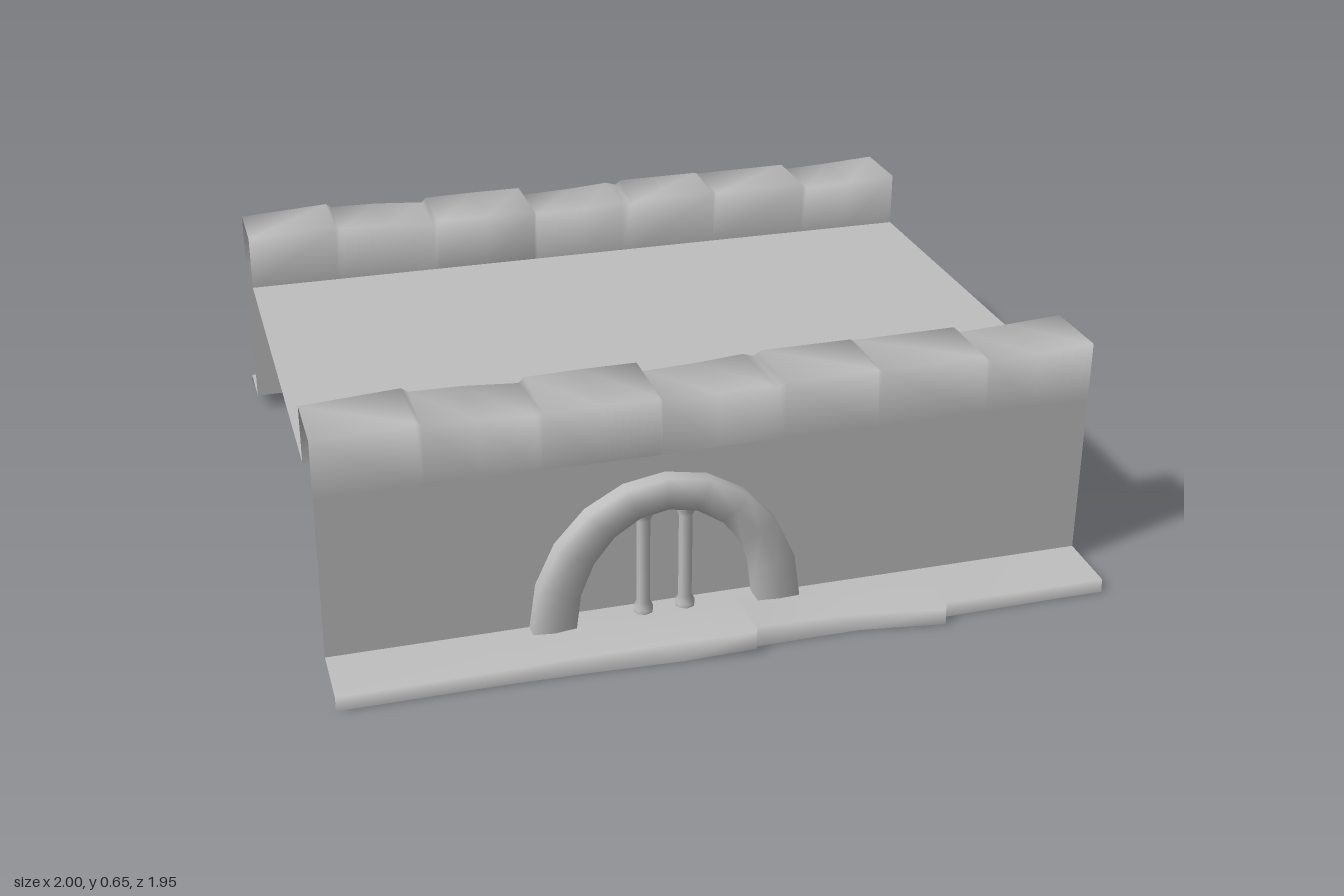
import * as THREE from 'three';

const stone = new THREE.MeshStandardMaterial({ color: 0xbebebe, side: THREE.DoubleSide });
stone.name = 'greyStone';

const WALL_Z = 0.765, NICHE_Z = 0.73, DECK_Y = 0.48, FLOOR_Y = 0.042;
const ARCH_X = -0.14, ARCH_STEPS = 11;

// Smooth open surface through rows of [x, y, z] points
function loft(rows) {
  const n = rows[0].length, index = [];
  for (let i = 0; i < rows.length - 1; i++) {
    for (let j = 0; j < n - 1; j++) {
      const a = i * n + j, b = a + n;
      index.push(a, b, a + 1, b, b + 1, a + 1);
    }
  }
  const geo = new THREE.BufferGeometry();
  geo.setAttribute('position', new THREE.Float32BufferAttribute(rows.flat(2), 3));
  geo.setIndex(index);
  geo.computeVertexNormals();
  return geo;
}

function add(parent, name, geo) {
  const mesh = new THREE.Mesh(geo, stone);
  mesh.name = name;
  parent.add(mesh);
  return mesh;
}

// Points of a faceted half ellipse on straight feet, from +x to -x
function archCurve(rx, ry) {
  const pts = [];
  for (let i = 0; i <= ARCH_STEPS - 1; i++) {
    const t = (Math.PI * i) / (ARCH_STEPS - 1);
    pts.push(new THREE.Vector2(ARCH_X + rx * Math.cos(t), FLOOR_Y + ry * Math.sin(t)));
  }
  return pts;
}

// Worn coping stones: x, top height, swelling of the upper edges
const copingStations = [
  [-1, 0.632, 0], [-0.75, 0.646, 0.003], [-0.735, 0.636, 0], [-0.6, 0.634, 0],
  [-0.46, 0.624, 0], [-0.445, 0.634, 0.009], [-0.3, 0.636, 0.012], [-0.155, 0.636, 0.012],
  [-0.145, 0.62, -0.008], [0, 0.624, -0.004], [0.12, 0.631, 0], [0.15, 0.622, 0],
  [0.17, 0.634, 0.002], [0.41, 0.636, 0], [0.42, 0.633, 0], [0.7, 0.635, 0.002],
  [0.715, 0.62, 0], [0.85, 0.626, 0], [1, 0.635, 0],
];

// Worn footing: x, top height, outward bulge, height of lower edge
const footingStations = [
  [-1, 0.036, 0, 0], [-0.6, 0.04, 0, 0], [-0.4, 0.047, 0.005, 0], [-0.15, 0.053, 0.018, 0],
  [0.04, 0.06, 0.032, 0.012], [0.05, 0.056, 0.004, 0], [0.2, 0.05, 0.002, 0], [0.32, 0.046, 0.002, 0],
  [0.545, 0.042, 0.035, 0], [0.56, 0.04, 0.003, 0], [0.8, 0.036, 0, 0], [1, 0.036, 0, 0],
];

function createSide(s, name, pillarXs) {
  const side = new THREE.Group();
  side.name = name;

  // Coping, an upturned channel along the wall top
  add(side, 'coping', loft(copingStations.map(([x, y, w]) => [
    [x, DECK_Y - 0.003, s * WALL_Z],
    [x, y, s * (WALL_Z + w)],
    [x, y, s * (0.573 - w)],
    [x, DECK_Y - 0.003, s * 0.573],
  ])));

  // Footing ledge with a lip
  add(side, 'footing', loft(footingStations.map(([x, y, w, low]) => [
    [x, FLOOR_Y, s * WALL_Z],
    [x, y, s * (0.935 + w)],
    [x, low, s * (0.938 + w)],
  ])));

  // Wall with the arched opening cut out of it
  const mouth = archCurve(0.265, 0.33);
  const outline = [[-1, FLOOR_Y], [-1, DECK_Y], [1, DECK_Y], [1, FLOOR_Y]]
    .map(([x, y]) => new THREE.Vector2(x, y));
  const wall = new THREE.Shape([...outline, ...mouth]);
  add(side, 'wall', new THREE.ShapeGeometry(wall)).position.z = s * WALL_Z;

  // Shallow niche behind the arch
  add(side, 'nicheBack', new THREE.ShapeGeometry(new THREE.Shape(mouth))).position.z = s * NICHE_Z;
  add(side, 'nicheReveal', loft(mouth.map((p) => [[p.x, p.y, s * WALL_Z], [p.x, p.y, s * NICHE_Z]])));
  add(side, 'nicheFloor', loft([mouth[0], mouth[ARCH_STEPS - 1]].map((p) => [
    [p.x, FLOOR_Y, s * NICHE_Z], [p.x, FLOOR_Y, s * WALL_Z],
  ])));

  // Raised arch surround
  const outer = archCurve(0.35, 0.388), inner = archCurve(0.238, 0.303);
  add(side, 'archSurround', loft(outer.map((o, i) => [
    [o.x, o.y, s * 0.745], [o.x, o.y, s * 0.805],
    [(o.x + inner[i].x) / 2, (o.y + inner[i].y) / 2, s * 0.812],
    [inner[i].x, inner[i].y, s * 0.805], [inner[i].x, inner[i].y, s * 0.745],
  ])));

  // Small pillars with a flared foot and head
  const profile = [[0.026, 0], [0.026, 0.012], [0.018, 0.03], [0.018, 0.262], [0.026, 0.28], [0.026, 0.295]]
    .map(([r, y]) => new THREE.Vector2(r, y));
  for (const x of pillarXs) {
    add(side, 'pillar', new THREE.LatheGeometry(profile, 8)).position.set(x, FLOOR_Y, s * 0.765);
  }
  return side;
}

export function createModel() {
  const model = new THREE.Group();
  model.name = 'stoneBridge';
  const deck = new THREE.PlaneGeometry(2, 1.146).rotateX(-Math.PI / 2);
  add(model, 'deck', deck).position.y = DECK_Y;
  model.add(createSide(1, 'frontSide', [-0.195, -0.085]));
  model.add(createSide(-1, 'backSide', [-0.235, -0.14, -0.045]));
  return model;
}
